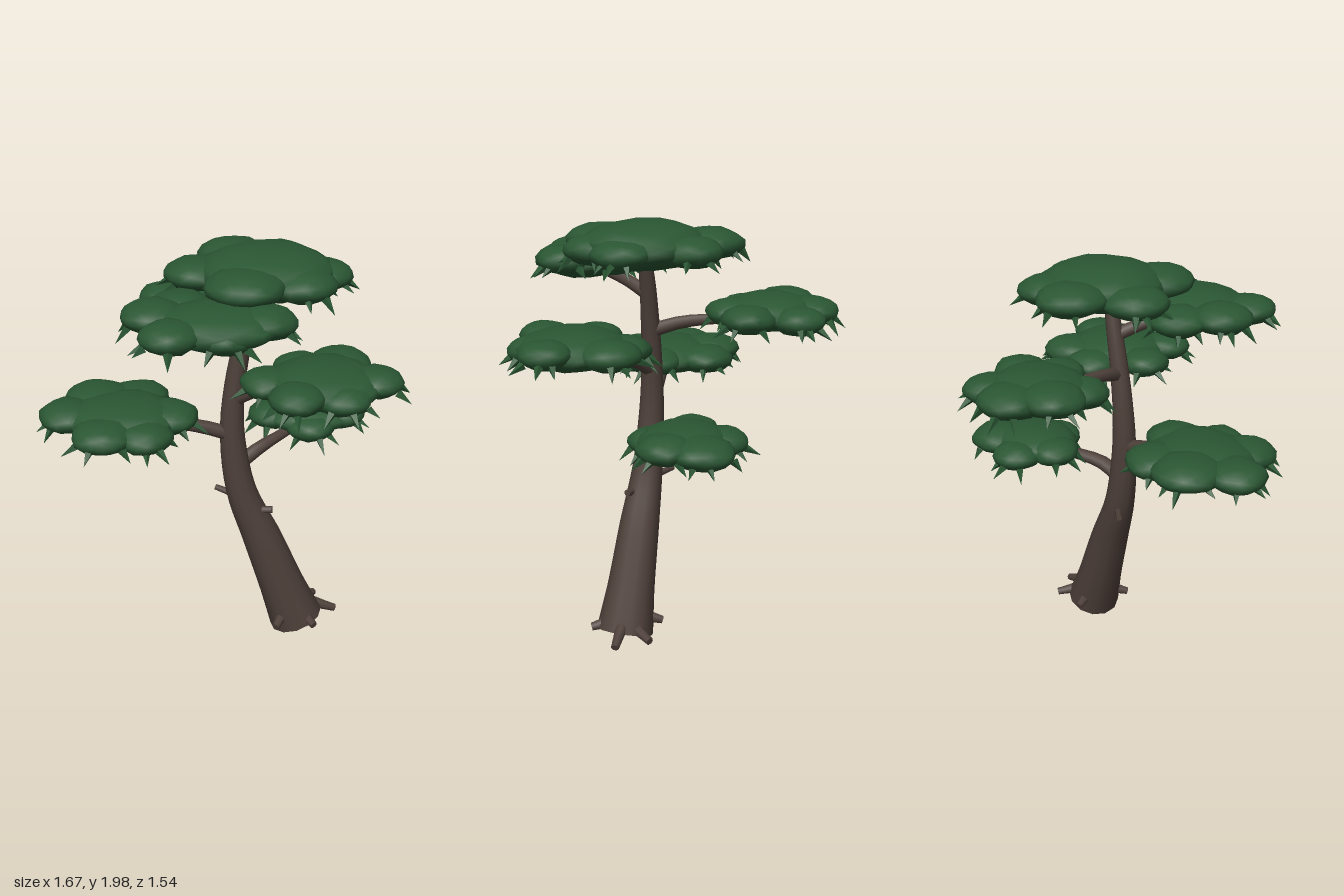
import * as THREE from 'three';
import { mergeVertices } from 'three/addons/utils/BufferGeometryUtils.js';

const bark = new THREE.MeshStandardMaterial({ color: 0x4f413b, side: THREE.DoubleSide });
bark.name = 'bark';
const foliage = new THREE.MeshStandardMaterial({ color: 0x2a5633 });
foliage.name = 'foliage';

const v = (p) => new THREE.Vector3(...p);

function seeded(seed) {
  return () => {
    seed = (seed * 16807) % 2147483647;
    return seed / 2147483647;
  };
}

// Tapered tube through points, each given as [x, y, z, radius], with a cap on the far end
function limb(name, points, steps = 8, sides = 8) {
  const group = new THREE.Group();
  group.name = name;
  const curve = new THREE.CatmullRomCurve3(points.map(v));
  const geo = new THREE.TubeGeometry(curve, steps, 1, sides);
  const pos = geo.attributes.position;
  const p = new THREE.Vector3();
  const radiusAt = (u) => {
    const t = curve.getUtoTmapping(u) * (points.length - 1);
    const i = Math.min(Math.floor(t), points.length - 2);
    return THREE.MathUtils.lerp(points[i][3], points[i + 1][3], t - i);
  };
  for (let i = 0; i <= steps; i++) {
    const c = curve.getPointAt(i / steps);
    const r = radiusAt(i / steps);
    for (let j = 0; j <= sides; j++) {
      const k = i * (sides + 1) + j;
      p.fromBufferAttribute(pos, k).sub(c).multiplyScalar(r).add(c);
      pos.setXYZ(k, p.x, p.y, p.z);
    }
  }
  const cap = new THREE.Mesh(new THREE.CircleGeometry(radiusAt(1), sides), bark);
  cap.quaternion.setFromUnitVectors(new THREE.Vector3(0, 0, 1), curve.getTangentAt(1));
  cap.position.copy(curve.getPointAt(1));
  group.add(new THREE.Mesh(geo, bark), cap);
  group.children.forEach((m) => { m.name = name; });
  return group;
}

// Leaf cushion: slightly lumpy ball
function cushionGeometry() {
  let geo = new THREE.IcosahedronGeometry(1, 2);
  geo.deleteAttribute('uv');
  geo.deleteAttribute('normal');
  geo = mergeVertices(geo, 1e-4);
  const pos = geo.attributes.position;
  for (let i = 0; i < pos.count; i++) {
    const x = pos.getX(i), y = pos.getY(i), z = pos.getZ(i);
    const k = 1 + 0.05 * Math.sin(5 * x + 1) * Math.cos(4 * z + 3 * y);
    pos.setXYZ(i, x * k, y * k, z * k);
  }
  geo.computeVertexNormals();
  return geo;
}

// Flat foliage pad: middle cushion, ring of lobes [x, z, radius], needle tufts under the rim
function pad(name, [cx, cy, cz], [rx, ry, rz], lobes, seed, cushion, needle) {
  const rand = seeded(seed);
  const group = new THREE.Group();
  group.name = name;
  const add = (part, geo, p, s) => {
    const mesh = new THREE.Mesh(geo, foliage);
    mesh.name = part;
    mesh.position.set(...p);
    mesh.scale.set(...s);
    group.add(mesh);
    return mesh;
  };
  add('cushion', cushion, [cx, cy, cz], [rx, ry, rz]).rotation.y = rand() * 0.2;
  for (const [x, z, r] of lobes) {
    const y = cy + (rand() - 0.5) * 0.035;
    add('lobe', cushion, [x, y, z], [r, 0.04 + r * 0.2, r]).rotation.y = rand() * 6;
    const out = Math.atan2(z - cz, x - cx);
    for (const side of [-0.9, -0.1, 0.7]) {
      const a = out + side + (rand() - 0.5) * 0.7;
      const reach = r * (0.7 + rand() * 0.22);
      const dir = v([Math.cos(a), -0.4 - rand() * 0.9, Math.sin(a)]).normalize();
      const len = 0.06 + rand() * 0.03;
      const tuft = add('needleTuft', needle,
        [x + Math.cos(a) * reach, y - 0.028, z + Math.sin(a) * reach], [0.02, len, 0.02]);
      tuft.quaternion.setFromUnitVectors(new THREE.Vector3(0, 1, 0), dir);
    }
  }
  return group;
}

export function createModel() {
  const tree = new THREE.Group();
  tree.name = 'tree';

  // Leaning trunk, open at the foot
  tree.add(limb('trunk', [
    [0.385, 0.065, 0.07, 0.137], [0.305, 0.27, 0.07, 0.113], [0.203, 0.54, 0.07, 0.096],
    [0.1, 0.8, 0.07, 0.073], [0.055, 1.1, 0.065, 0.058], [0.062, 1.32, 0.06, 0.049],
    [0.092, 1.52, 0.055, 0.043], [0.13, 1.7, 0.05, 0.037], [0.17, 1.86, 0.05, 0.028],
  ], 28, 12));

  // Root stubs round the foot
  for (const [from, to] of [
    [[0.45, 0.14, 0.05], [0.585, 0.085, 0.03]],
    [[0.42, 0.12, 0.13], [0.47, 0.1, 0.205]],
    [[0.42, 0.12, 0.01], [0.48, 0.09, -0.1]],
    [[0.32, 0.13, 0.14], [0.28, 0.1, 0.222]],
    [[0.32, 0.13, 0.0], [0.28, 0.1, -0.08]],
  ]) tree.add(limb('rootStub', [[...from, 0.034], [...to, 0.019]], 2, 7));

  // Broken twigs on the trunk
  tree.add(limb('twigStub', [[0.11, 0.7, 0.09, 0.022], [0.25, 0.715, 0.11, 0.017]], 2, 7));
  tree.add(limb('twigStub', [[0.09, 0.755, 0.05, 0.02], [-0.025, 0.768, -0.01, 0.014]], 2, 7));

  // Branches
  for (const points of [
    [[0.05, 1.1, 0.07, 0.036], [-0.1, 1.155, 0.1, 0.033], [-0.4, 1.22, 0.17, 0.02]],
    [[0.08, 0.93, 0.06, 0.038], [0.18, 0.99, 0.0, 0.034], [0.42, 1.04, -0.22, 0.018]],
    [[0.06, 1.28, 0.06, 0.042], [0.17, 1.35, 0.11, 0.038], [0.45, 1.42, 0.26, 0.02]],
    [[0.09, 1.47, 0.055, 0.034], [0.02, 1.51, -0.08, 0.03], [-0.08, 1.54, -0.42, 0.018]],
    [[0.125, 1.65, 0.05, 0.034], [0.08, 1.7, 0.18, 0.03], [0.0, 1.75, 0.42, 0.018]],
  ]) tree.add(limb('branch', points));

  // Foliage pads
  const cushion = cushionGeometry();
  const needle = new THREE.ConeGeometry(1, 1, 4).translate(0, 0.5, 0).toNonIndexed();
  needle.computeVertexNormals();
  const pads = [
    ['leftFoliage', [-0.44, 1.235, 0.17], [0.27, 0.088, 0.23], [
      [-0.57, 0.01, 0.16], [-0.39, -0.03, 0.145], [-0.69, 0.18, 0.135],
      [-0.51, 0.36, 0.14], [-0.33, 0.34, 0.13], [-0.23, 0.17, 0.135]]],
    ['lowRightFoliage', [0.42, 1.075, -0.24], [0.23, 0.078, 0.2], [
      [0.53, -0.37, 0.145], [0.32, -0.38, 0.12], [0.58, -0.22, 0.125],
      [0.25, -0.22, 0.12], [0.43, -0.11, 0.12]]],
    ['midRightFoliage', [0.46, 1.455, 0.26], [0.26, 0.09, 0.25], [
      [0.68, 0.28, 0.12], [0.54, 0.05, 0.14], [0.33, 0.47, 0.12],
      [0.21, 0.27, 0.12], [0.36, 0.07, 0.13], [0.53, 0.41, 0.125]]],
    ['backFoliage', [-0.1, 1.57, -0.46], [0.24, 0.085, 0.22], [
      [-0.17, -0.62, 0.145], [0.02, -0.63, 0.12], [-0.28, -0.48, 0.14],
      [0.13, -0.43, 0.12], [-0.21, -0.31, 0.12], [0.0, -0.31, 0.12]]],
    ['frontFoliage', [0.0, 1.778, 0.42], [0.27, 0.088, 0.23], [
      [-0.27, 0.37, 0.14], [-0.19, 0.58, 0.125], [0.19, 0.43, 0.135],
      [-0.17, 0.21, 0.14], [0.03, 0.53, 0.12], [0.1, 0.23, 0.13]]],
    ['topFoliage', [0.2, 1.885, 0.03], [0.31, 0.11, 0.29], [
      [0.05, -0.21, 0.165], [0.27, -0.21, 0.145], [0.44, 0.03, 0.14],
      [0.11, 0.27, 0.175], [-0.1, 0.03, 0.15], [0.35, 0.19, 0.15]]],
  ];
  pads.forEach(([name, centre, radii, lobes], i) =>
    tree.add(pad(name, centre, radii, lobes, 4211 + i * 977, cushion, needle)));

  return tree;
}
